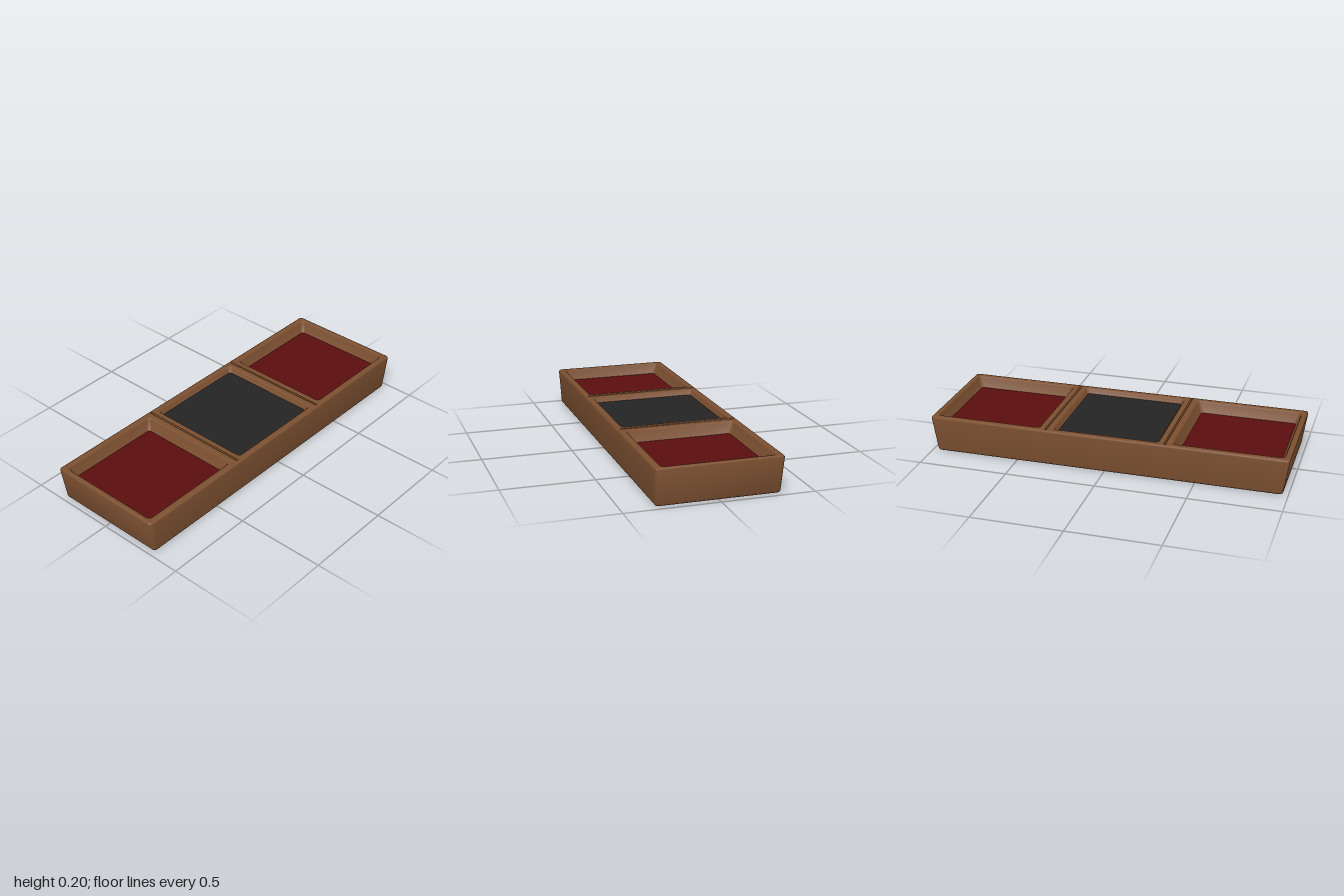
import * as THREE from 'three';
import { toCreasedNormals } from 'three/addons/utils/BufferGeometryUtils.js';

const HEIGHT = 0.205;
const CORNER_STEPS = 4;

const wood = new THREE.MeshStandardMaterial({ name: 'brown wood', color: 0x7b4f30 });
const redFelt = new THREE.MeshStandardMaterial({ name: 'dark red felt', color: 0x5a0d0f });
const blackFelt = new THREE.MeshStandardMaterial({ name: 'black felt', color: 0x242424 });

// Rounded rectangle outline, counter-clockwise seen from above
function outline({ cx = 0, hx, hz, r }) {
  const points = [];
  for (let corner = 0; corner < 4; corner++) {
    const sx = corner === 0 || corner === 3 ? 1 : -1;
    const sz = corner < 2 ? 1 : -1;
    for (let i = 0; i <= CORNER_STEPS; i++) {
      const a = (corner + i / CORNER_STEPS) * Math.PI / 2;
      points.push(new THREE.Vector2(cx + sx * (hx - r) + r * Math.cos(a), sz * (hz - r) + r * Math.sin(a)));
    }
  }
  return points;
}

// Skin between stacked outlines: upward order faces out, downward order faces in
function loft(rings) {
  const positions = [], index = [];
  const n = 4 * (CORNER_STEPS + 1);
  for (const ring of rings) for (const p of outline(ring)) positions.push(p.x, ring.y, -p.y);
  for (let i = 0; i < rings.length - 1; i++) {
    for (let j = 0; j < n; j++) {
      const a = i * n + j, b = i * n + (j + 1) % n;
      index.push(a, b, b + n, a, b + n, a + n);
    }
  }
  const geometry = new THREE.BufferGeometry();
  geometry.setAttribute('position', new THREE.Float32BufferAttribute(positions, 3));
  geometry.setIndex(index);
  return toCreasedNormals(geometry, 0.7);
}

// Flat horizontal face bounded by an outline
function flat(ring, holes = [], down = false) {
  const shape = new THREE.Shape(outline(ring));
  for (const hole of holes) shape.holes.push(new THREE.Path(outline(hole)));
  const geometry = new THREE.ShapeGeometry(shape);
  geometry.rotateX(down ? Math.PI / 2 : -Math.PI / 2);
  geometry.translate(0, ring.y, 0);
  return geometry;
}

// Tapered outside with softened bottom and top edges
function shellRings() {
  const edge = 0.014, rings = [];
  const add = (y, inset) => {
    const t = y / HEIGHT;
    rings.push({ y, hx: 0.97 + 0.03 * t - inset, hz: 0.328 + 0.008 * t - inset, r: 0.018 - inset });
  };
  const angles = [0, 1, 2, 3, 4].map(k => k * Math.PI / 8);
  for (const a of angles) add(edge * (1 - Math.cos(a)), edge * (1 - Math.sin(a)));
  for (const a of angles) add(HEIGHT - edge * (1 - Math.sin(a)), edge * (1 - Math.cos(a)));
  return rings;
}

// Sunken compartment: rounded lip, sloping walls, floor
function wellRings({ cx, open, floor, depth }) {
  const lip = 0.012, rings = [];
  for (let k = 0; k <= 4; k++) {
    const a = k * Math.PI / 8, out = lip * (1 - Math.sin(a));
    rings.push({ cx, y: HEIGHT - lip * (1 - Math.cos(a)), hx: open[0] + out, hz: open[1] + out, r: 0.018 + out });
  }
  rings.push({ cx, y: HEIGHT - depth, hx: floor[0], hz: floor[1], r: 0.015 });
  return rings;
}

export function createModel() {
  const model = new THREE.Group();
  model.name = 'compartmentTray';
  const add = (name, geometry, material) => {
    const mesh = new THREE.Mesh(geometry, material);
    mesh.name = name;
    model.add(mesh);
  };

  // Outer body
  const shell = shellRings();
  add('outerShell', loft(shell), wood);
  add('underside', flat(shell[0], [], true), wood);

  // Three lined compartments, the middle one shallower
  const side = { open: [0.295, 0.295], floor: [0.27, 0.27], depth: 0.06, felt: redFelt };
  const wells = [
    { name: 'right', cx: -0.67, ...side },
    { name: 'middle', cx: 0, open: [0.292, 0.295], floor: [0.28, 0.283], depth: 0.027, felt: blackFelt },
    { name: 'left', cx: 0.67, ...side },
  ];
  const holes = [];
  for (const well of wells) {
    const rings = wellRings(well);
    holes.push(rings[0]);
    add(well.name + 'CompartmentWalls', loft(rings), wood);
    add(well.name + 'FeltFloor', flat(rings[rings.length - 1]), well.felt);
  }

  // Narrow V grooves along the dividers
  for (const s of [-1, 1]) {
    const top = { cx: s * 0.332, y: HEIGHT, hx: 0.005, hz: 0.318, r: 0.003 };
    const bottom = { ...top, y: HEIGHT - 0.01, hx: 0.0006, hz: 0.314, r: 0.0004 };
    holes.push(top);
    add(s < 0 ? 'rightDividerGroove' : 'leftDividerGroove', loft([top, bottom]), wood);
    add('grooveBottom', flat(bottom), wood);
  }

  // Top rim and dividers
  add('topRim', flat(shell[shell.length - 1], holes), wood);
  return model;
}
